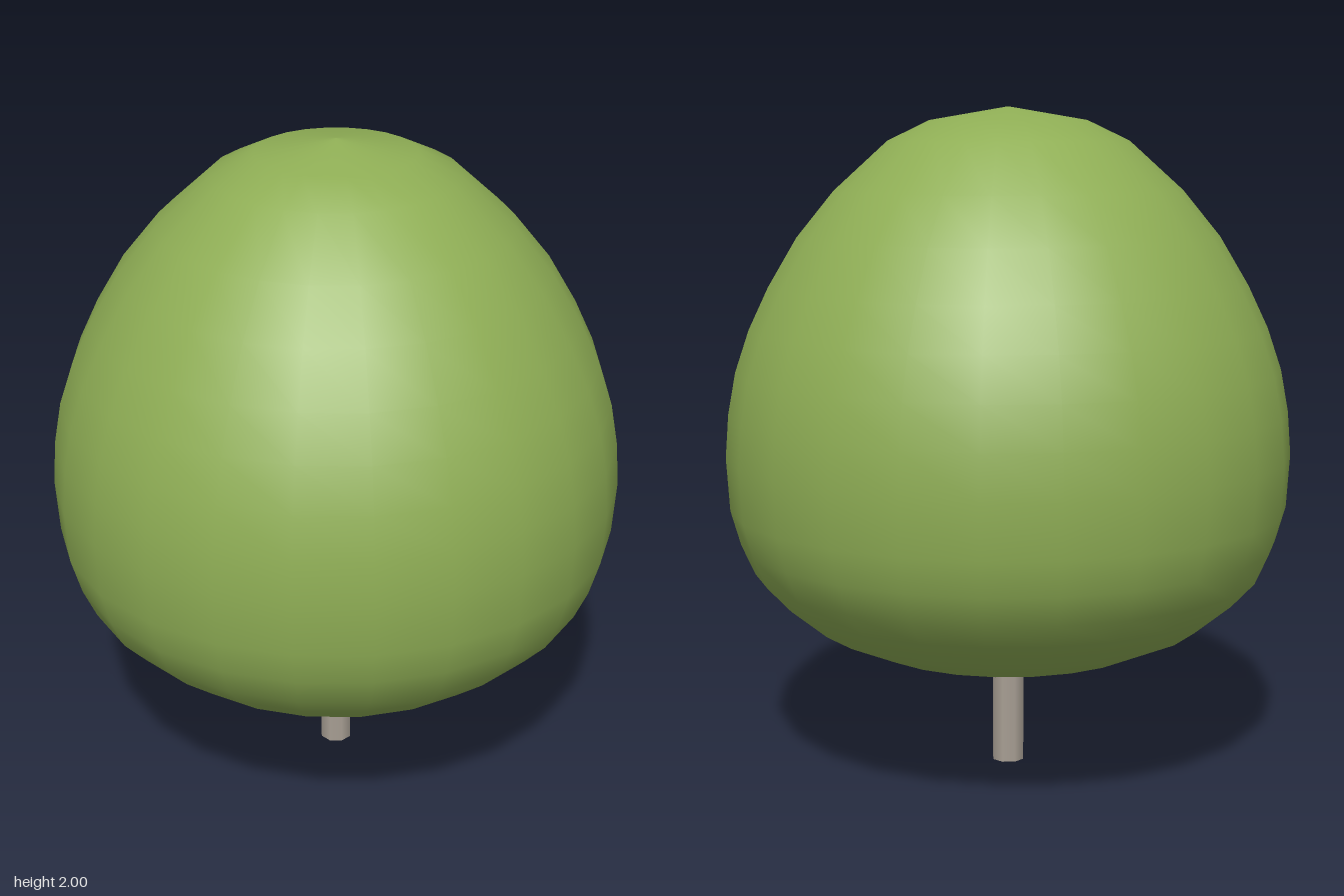
import * as THREE from 'three';

export function createModel() {
  const tree = new THREE.Group();
  tree.name = 'tree';

  // Crown: a rounded dome with a flattened underside, turned from bottom to top
  const profile = [
    [0, 0.325], [0.26, 0.345], [0.43, 0.38], [0.59, 0.45], [0.7, 0.54],
    [0.77, 0.615], [0.81, 0.705], [0.84, 0.81], [0.85, 0.97], [0.84, 1.1],
    [0.817, 1.225], [0.775, 1.35], [0.716, 1.475], [0.63, 1.62], [0.52, 1.755],
    [0.36, 1.9], [0.235, 1.96], [0, 2],
  ].map(([r, y]) => new THREE.Vector2(r, y));
  const crown = new THREE.Mesh(
    new THREE.LatheGeometry(profile, 24),
    new THREE.MeshStandardMaterial({ color: 0x8fae55 }),
  );
  crown.name = 'crown';
  tree.add(crown);

  // Trunk: a thin straight post reaching into the crown
  const trunkHeight = 0.5;
  const trunk = new THREE.Mesh(
    new THREE.CylinderGeometry(0.05, 0.05, trunkHeight, 8),
    new THREE.MeshStandardMaterial({ color: 0xa89f94 }),
  );
  trunk.name = 'trunk';
  trunk.position.y = trunkHeight / 2;
  tree.add(trunk);

  return tree;
}
